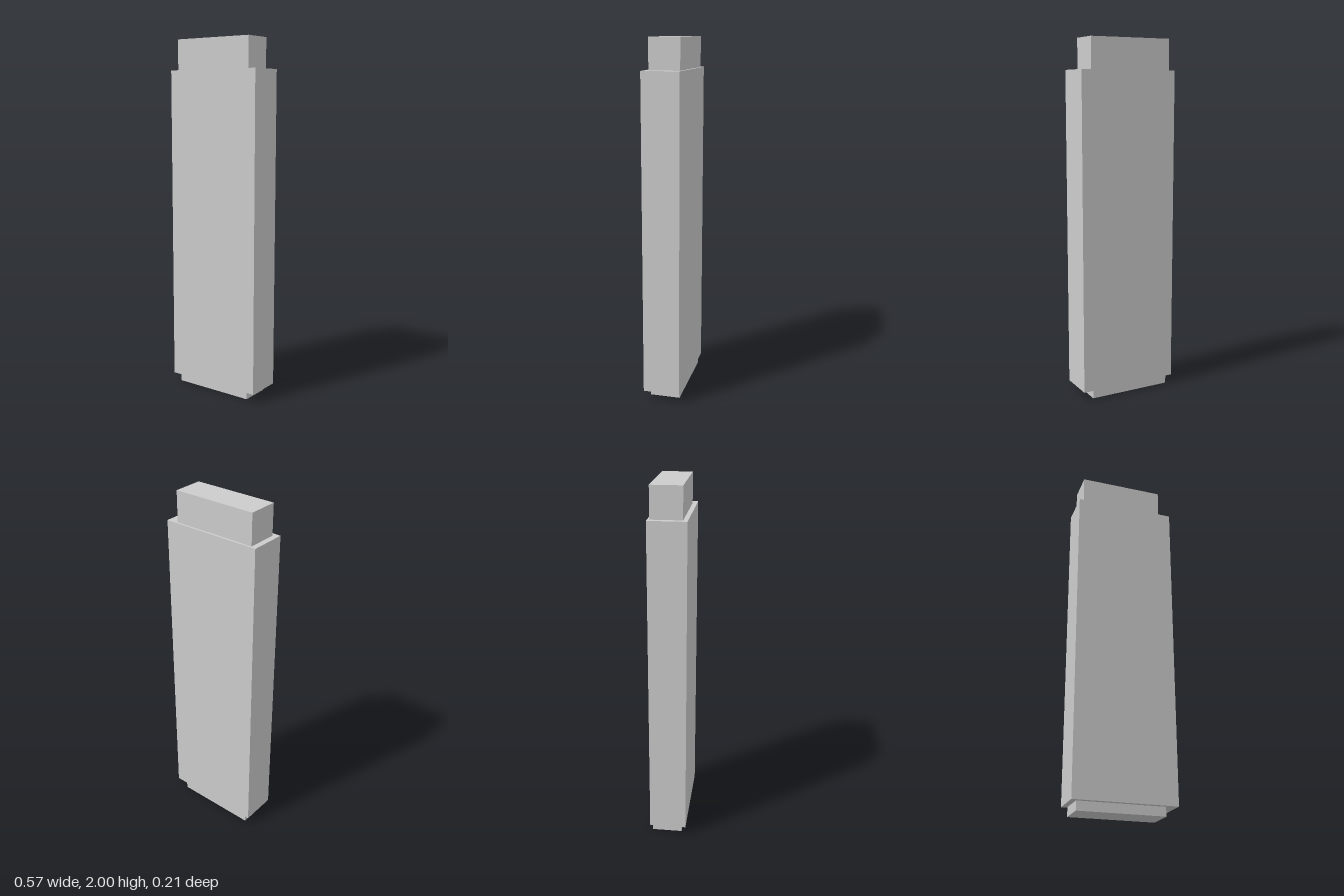
import * as THREE from 'three';

// Box given by its minimum and maximum corners
function slab(name, min, max, material) {
  const size = max.map((v, i) => v - min[i]);
  const mesh = new THREE.Mesh(new THREE.BoxGeometry(...size), material);
  mesh.position.set(...max.map((v, i) => (v + min[i]) / 2));
  mesh.name = name;
  return mesh;
}

export function createModel() {
  const group = new THREE.Group();
  group.name = 'sleevedPost';
  const grey = new THREE.MeshStandardMaterial({ color: 0xcccccc, flatShading: true });

  // Slightly off-centre core running the full height
  group.add(slab('core', [-0.254, 0, -0.091], [0.224, 2, 0.078], grey));
  // Wider block around the core
  group.add(slab('sleeve', [-0.285, 0.05, -0.103], [0.285, 1.83, 0.103], grey));
  return group;
}
